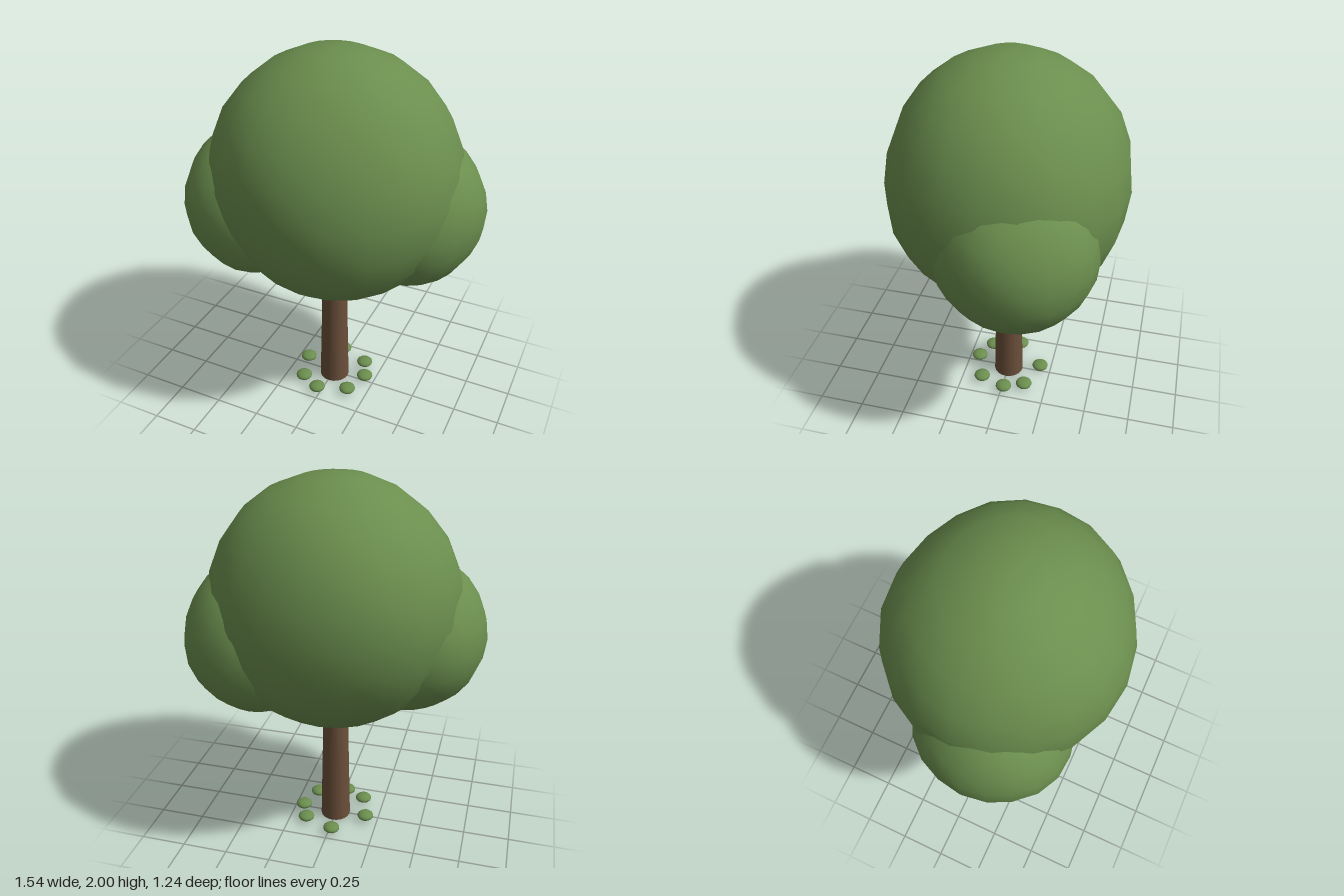
import * as THREE from 'three';
import { mergeVertices } from 'three/addons/utils/BufferGeometryUtils.js';

const leaf = new THREE.MeshStandardMaterial({ color: 0x6b8e4e });
leaf.name = 'leaf green';
const bark = new THREE.MeshStandardMaterial({ color: 0x6b4f3a });
bark.name = 'bark brown';

// Slightly lumpy ellipsoid with smooth normals and a faceted outline
function foliage(name, [x, y, z], [rx, ry, rz], phase) {
  let geo = new THREE.SphereGeometry(1, 20, 12);
  geo.deleteAttribute('uv');
  geo.deleteAttribute('normal');
  geo = mergeVertices(geo, 1e-4);
  const pos = geo.attributes.position;
  const v = new THREE.Vector3();
  for (let i = 0; i < pos.count; i++) {
    v.fromBufferAttribute(pos, i);
    const lump = Math.sin(4 * v.x + phase) * Math.sin(3.5 * v.y + 2 * phase) * Math.cos(4 * v.z - phase);
    v.multiplyScalar(1 + 0.02 * lump);
    pos.setXYZ(i, v.x * rx, v.y * ry, v.z * rz);
  }
  geo.computeVertexNormals();
  const mesh = new THREE.Mesh(geo, leaf);
  mesh.name = name;
  mesh.position.set(x, y, z);
  return mesh;
}

export function createModel() {
  const tree = new THREE.Group();
  tree.name = 'tree';

  // Tapered trunk reaching into the crown
  const trunk = new THREE.Mesh(new THREE.CylinderGeometry(0.064, 0.084, 0.85, 20), bark);
  trunk.name = 'trunk';
  trunk.position.set(0.005, 0.425, 0);
  tree.add(trunk);

  // Main crown and two side clumps
  tree.add(
    foliage('crown', [0.01, 1.34, 0], [0.655, 0.66, 0.62], 0),
    foliage('rightClump', [-0.38, 1.17, 0.1], [0.39, 0.41, 0.41], 0.6),
    foliage('leftClump', [0.38, 1.17, -0.12], [0.385, 0.41, 0.41], 1.4),
  );

  // Ring of small tufts around the trunk
  const tufts = new THREE.Group();
  tufts.name = 'groundTufts';
  const tuftGeo = new THREE.SphereGeometry(1, 16, 10).scale(0.046, 0.023, 0.046);
  [-97, -41, -4, 43, 98, 137, 190].forEach((deg, i) => {
    const a = THREE.MathUtils.degToRad(deg);
    const tuft = new THREE.Mesh(tuftGeo, leaf);
    tuft.name = `tuft${i + 1}`;
    tuft.position.set(0.005 + 0.19 * Math.cos(a), 0.032, 0.19 * Math.sin(a));
    tufts.add(tuft);
  });
  tree.add(tufts);

  return tree;
}
